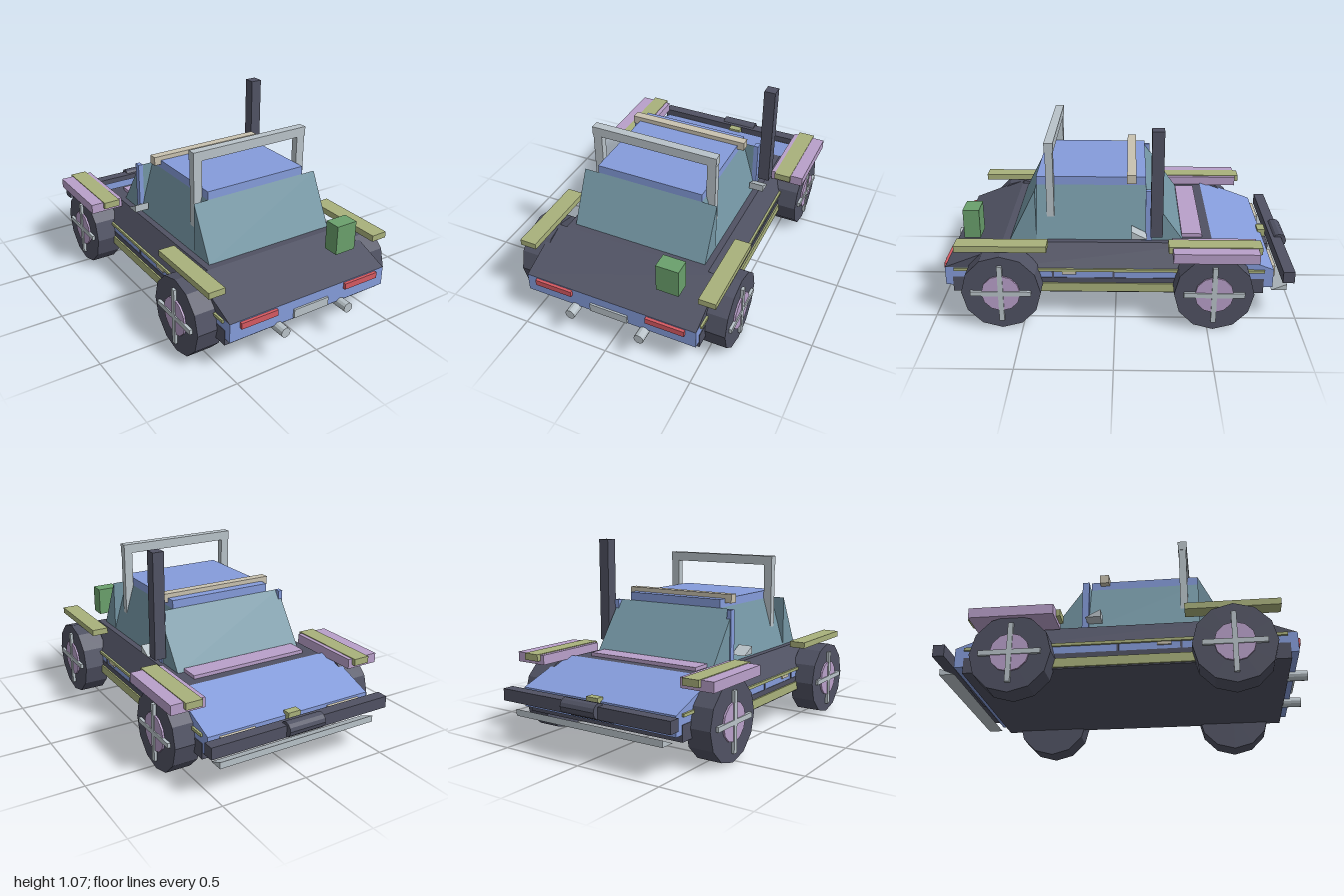
import * as THREE from 'three';

const mat = (name, color) => {
  const m = new THREE.MeshStandardMaterial({ color, flatShading: true });
  m.name = name;
  return m;
};

export function createModel() {
  const car = new THREE.Group();
  car.name = 'offRoadCar';
  const blue = mat('blue paint', 0x859cdb);
  const dark = mat('dark grey', 0x505263);
  const teal = mat('teal glass', 0x7496a4);
  const purple = mat('lilac', 0xb9a0ca);
  const olive = mat('olive', 0xa9b17b);
  const grey = mat('light grey', 0xb9c3c9);
  const beige = mat('beige', 0xc9c2b0);
  const red = mat('red', 0xd65a62);
  const green = mat('green', 0x6aa06c);

  const add = (name, geo, m, parent = car) => {
    const mesh = new THREE.Mesh(geo, m);
    mesh.name = name;
    parent.add(mesh);
    return mesh;
  };
  // Box given by its limits on each axis
  const box = (name, m, x0, x1, y0, y1, z0, z1, parent) => {
    const g = new THREE.BoxGeometry(x1 - x0, y1 - y0, z1 - z0);
    g.translate((x0 + x1) / 2, (y0 + y1) / 2, (z0 + z1) / 2);
    return add(name, g, m, parent);
  };
  // The same box on both sides of the car
  const pair = (name, m, x0, x1, ...rest) => {
    box(name + 'Left', m, x0, x1, ...rest);
    box(name + 'Right', m, -x1, -x0, ...rest);
  };
  const extrude = (pts, depth) => new THREE.ExtrudeGeometry(
    new THREE.Shape(pts.map(p => new THREE.Vector2(...p))), { depth, bevelEnabled: false });
  // Side profile of (z, y) points, extruded from x0 to x1
  const sidePrism = (name, m, pts, x0, x1) => {
    const g = extrude(pts, x1 - x0);
    g.rotateY(-Math.PI / 2);
    g.translate(x1, 0, 0);
    return add(name, g, m);
  };
  // Cross-section of (x, y) points, extruded from z0 to z1
  const crossPrism = (name, m, pts, z0, z1) => {
    const g = extrude(pts, z1 - z0);
    g.translate(0, 0, z0);
    return add(name, g, m);
  };

  // Lower body, chassis and sills
  box('lowerBody', blue, -0.5, 0.5, 0.2, 0.307, -0.86, 0.93);
  box('chassis', dark, -0.503, 0.503, 0.163, 0.25, -0.81, 0.89);
  pair('sill', olive, 0.49, 0.512, 0.17, 0.22, -0.42, 0.5);
  pair('sideStripe', olive, 0.498, 0.512, 0.29, 0.306, -0.81, 0.88);
  for (const z of [0.34, 0.01]) pair('doorGap', dark, 0.497, 0.504, 0.25, 0.29, z - 0.006, z + 0.006);
  pair('doorHandle', beige, 0.498, 0.51, 0.272, 0.288, 0.215, 0.29);

  // Upper body: tapered middle with a full-width wedge at each end
  crossPrism('upperBody', dark, [[-0.5, 0.307], [0.5, 0.307], [0.43, 0.43], [-0.43, 0.43]], -0.53, 0.62);
  sidePrism('frontDeck', dark, [[0.62, 0.307], [0.93, 0.307], [0.62, 0.43]], -0.5, 0.5);
  sidePrism('rearHood', blue, [[-0.86, 0.307], [-0.53, 0.307], [-0.53, 0.43]], -0.5, 0.5);

  // Cabin: tapered side windows, sloped window wedges, roof and pillars
  crossPrism('sideWindows', teal, [[-0.395, 0.43], [0.395, 0.43], [0.31, 0.72], [-0.31, 0.72]], -0.165, 0.435);
  sidePrism('frontWindow', teal, [[0.435, 0.43], [0.58, 0.43], [0.435, 0.72]], -0.395, 0.395);
  sidePrism('rearWindow', teal, [[-0.37, 0.43], [-0.165, 0.43], [-0.165, 0.72]], -0.395, 0.395);
  box('roof', blue, -0.31, 0.31, 0.715, 0.767, -0.165, 0.435);
  pair('pillar', blue, 0.375, 0.402, 0.43, 0.72, -0.2, -0.163);

  // Roll bar and roof light bar
  const rollBar = new THREE.Group();
  rollBar.name = 'rollBar';
  car.add(rollBar);
  for (const s of [-1, 1]) box('rollBarLeg', grey, s * 0.335 - 0.025, s * 0.335 + 0.025, 0.45, 0.925, 0.337, 0.378, rollBar);
  box('rollBarTop', grey, -0.362, 0.362, 0.922, 0.975, 0.333, 0.382, rollBar);
  box('roofLightBar', beige, -0.35, 0.35, 0.743, 0.792, -0.112, -0.062);

  // Snorkel pipe and wedge-shaped mirrors
  box('snorkel', dark, 0.405, 0.47, 0.48, 1.077, -0.255, -0.19);
  for (const s of [-1, 1]) {
    sidePrism(s > 0 ? 'mirrorLeft' : 'mirrorRight', grey,
      [[-0.17, 0.47], [-0.088, 0.47], [-0.088, 0.513]], s * 0.43 - 0.042, s * 0.43 + 0.042);
  }

  // Fenders, hood vent and fuel can
  pair('frontFender', olive, 0.478, 0.573, 0.435, 0.47, 0.364, 0.857);
  pair('rearFender', olive, 0.478, 0.573, 0.435, 0.473, -0.78, -0.285);
  pair('rearFlare', purple, 0.453, 0.645, 0.414, 0.469, -0.757, -0.307);
  box('hoodVent', purple, -0.355, 0.355, 0.41, 0.45, -0.477, -0.365);
  box('fuelCan', green, 0.235, 0.363, 0.42, 0.585, 0.75, 0.84);

  // Wheels with lilac hubs and crossed spokes
  for (const s of [-1, 1]) for (const z of [0.61, -0.53]) {
    const wheel = new THREE.Group();
    wheel.name = (z > 0 ? 'front' : 'rear') + 'Wheel' + (s > 0 ? 'Left' : 'Right');
    wheel.position.set(s * 0.545, 0.217, z);
    car.add(wheel);
    const disc = (name, r, w, m, x) => {
      const g = new THREE.CylinderGeometry(r, r, w, 12);
      g.rotateZ(Math.PI / 2);
      add(name, g, m, wheel).position.x = x;
    };
    disc('tyre', 0.214, 0.142, dark, 0);
    disc('hub', 0.105, 0.03, purple, s * 0.066);
    for (const [h, d] of [[0.325, 0.027], [0.027, 0.325]]) {
      add('spoke', new THREE.BoxGeometry(0.03, h, d), grey, wheel).position.x = s * 0.072;
    }
  }

  // Front face: lamps, plate and pipes
  pair('redLamp', red, 0.22, 0.44, 0.267, 0.301, 0.925, 0.947);
  box('plate', grey, -0.111, 0.111, 0.207, 0.256, 0.925, 0.941);
  for (const s of [-1, 1]) {
    const g = new THREE.CylinderGeometry(0.028, 0.028, 0.11, 12);
    g.rotateX(Math.PI / 2);
    add('exhaustPipe', g, grey).position.set(s * 0.205, 0.186, 0.94);
  }

  // Rear face: headlights, grille, badge plate, bumper, winch and skid plate
  pair('headlight', beige, 0.228, 0.435, 0.235, 0.295, -0.88, -0.855);
  box('grille', dark, -0.14, 0.14, 0.215, 0.285, -0.887, -0.855);
  box('hoodLatch', olive, -0.038, 0.038, 0.285, 0.328, -0.885, -0.84);
  box('bumper', dark, -0.545, 0.545, 0.25, 0.315, -0.968, -0.905);
  const winch = new THREE.CylinderGeometry(0.041, 0.041, 0.22, 12);
  winch.rotateZ(Math.PI / 2);
  add('winch', winch, dark).position.set(0, 0.291, -0.959);
  sidePrism('skidPlate', grey, [[-0.943, 0.17], [-0.86, 0.17], [-0.943, 0.206]], -0.48, 0.48);

  return car;
}
